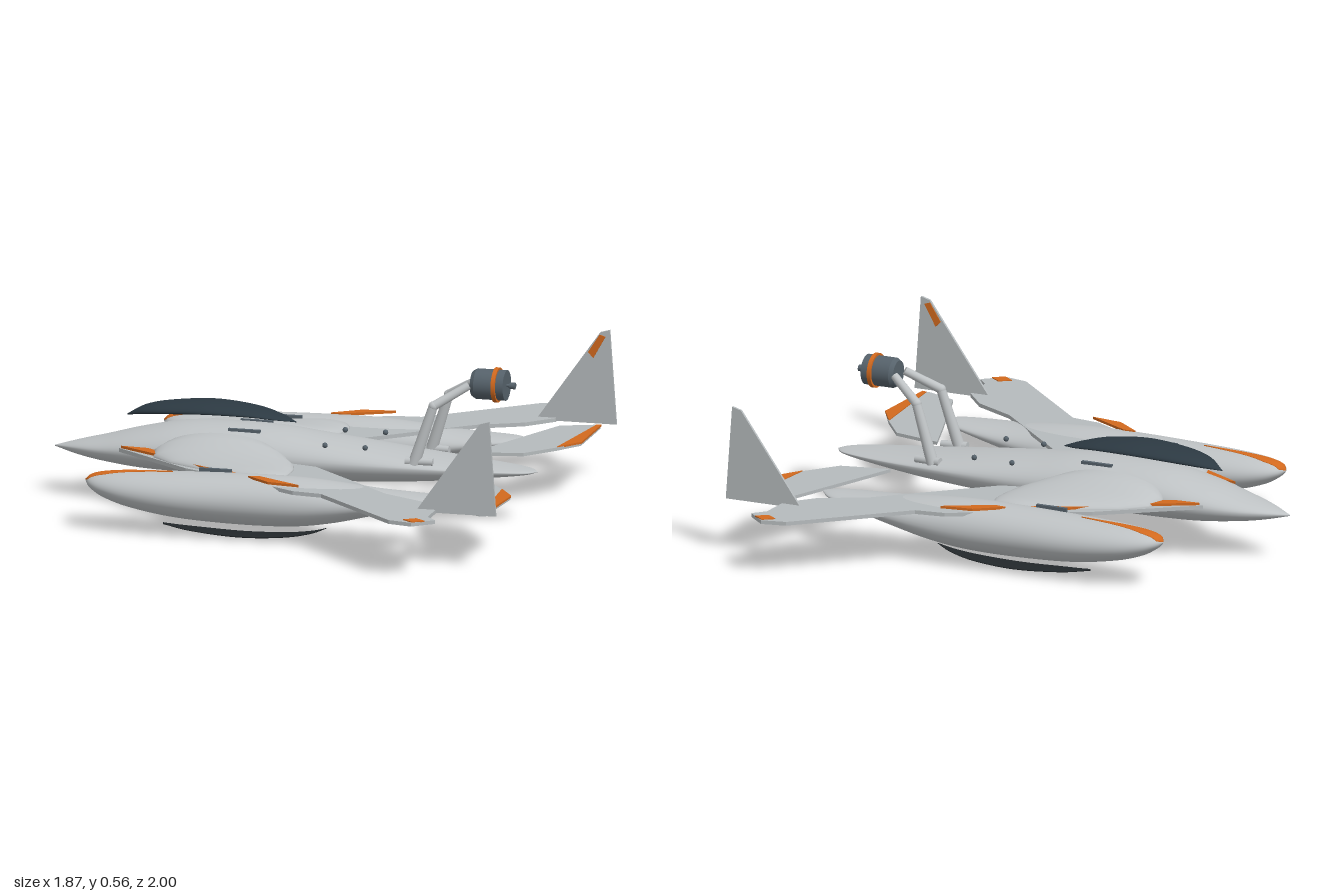
import * as THREE from 'three';

const mat = (name, color, side = THREE.FrontSide) => {
  const m = new THREE.MeshStandardMaterial({ color, side });
  m.name = name;
  return m;
};

// Closed skin through rings of [x, y, z] points
function skin(rings) {
  const n = rings[0].length, index = [];
  for (let i = 0; i < rings.length - 1; i++)
    for (let j = 0; j < n; j++) {
      const a = i * n + j, b = i * n + (j + 1) % n;
      index.push(a, a + n, b, b, a + n, b + n);
    }
  const g = new THREE.BufferGeometry();
  g.setAttribute('position', new THREE.Float32BufferAttribute(rings.flat(2), 3));
  g.setIndex(index);
  g.computeVertexNormals();
  return g;
}

// Smooth reader of stations [x, halfWidth, middle, top, bottom]
function stations(rows) {
  const a = new THREE.CatmullRomCurve3(rows.map(r => new THREE.Vector3(r[0], r[1], r[2])), false, 'catmullrom');
  const b = new THREE.CatmullRomCurve3(rows.map(r => new THREE.Vector3(r[0], r[3], r[4])), false, 'catmullrom');
  return t => {
    const p = a.getPoint(t), q = b.getPoint(t);
    return { x: p.x, w: Math.max(p.y, 0), mid: p.z, top: q.y, bot: q.z };
  };
}

const angles = n => Array.from({ length: n }, (_, j) => (j / n) * Math.PI * 2);

function body(read, zc = 0, steps = 56, n = 40) {
  const rings = [];
  for (let i = 0; i <= steps; i++) {
    const s = read(i / steps);
    rings.push(angles(n).map(a => {
      const k = Math.sin(a);
      return [s.x, s.mid + k * (k > 0 ? s.top - s.mid : s.mid - s.bot), zc + s.w * Math.cos(a)];
    }));
  }
  return skin(rings);
}

const outline = pts => new THREE.Shape(pts.map(p => new THREE.Vector2(...p)));

// Horizontal plate from [x, z] corners, with its top at y
function plate(pts, y, depth) {
  return new THREE.ExtrudeGeometry(outline(pts), { depth, bevelEnabled: false })
    .rotateX(Math.PI / 2).translate(0, y, 0);
}

// Upright plate from [x, y] corners, centred on z
function upright(pts, z, depth) {
  return new THREE.ExtrudeGeometry(outline(pts), { depth, bevelEnabled: false }).translate(0, 0, z - depth / 2);
}

function mirrored(geo) {
  const g = geo.clone().scale(1, 1, -1);
  const idx = g.index ? [...g.index.array] : [...Array(g.attributes.position.count).keys()];
  g.setIndex(idx.reverse());
  // scale() already carries the normals across
  return g;
}

function rod(a, b, r0, r1) {
  const p = new THREE.Vector3(...a), q = new THREE.Vector3(...b), d = q.clone().sub(p);
  const g = new THREE.CylinderGeometry(r1, r0, d.length(), 16);
  g.applyQuaternion(new THREE.Quaternion().setFromUnitVectors(new THREE.Vector3(0, 1, 0), d.clone().normalize()));
  return g.translate(...p.add(q).multiplyScalar(0.5).toArray());
}

export function createModel() {
  const model = new THREE.Group();
  model.name = 'aircraft';
  const hull = mat('hull grey', 0xbec2c4), panel = mat('wing grey', 0xb5babc);
  const orange = mat('orange', 0xd2691e), glass = mat('canopy glass', 0x2c3942);
  const steel = mat('engine grey', 0x56626b), black = mat('black', 0x22272a);

  const add = (name, geo, m) => {
    const mesh = new THREE.Mesh(geo, m);
    mesh.name = name;
    model.add(mesh);
  };
  const pair = (name, geo, m) => {
    add(name + 'Left', geo, m);
    add(name + 'Right', mirrored(geo), m);
  };

  // Fuselage
  add('fuselage', body(stations([
    [-0.94, 0, 0.173, 0.175, 0.171], [-0.85, 0.06, 0.18, 0.2, 0.15], [-0.75, 0.105, 0.185, 0.225, 0.134],
    [-0.6, 0.147, 0.195, 0.265, 0.119], [-0.42, 0.165, 0.2, 0.297, 0.115], [-0.15, 0.168, 0.2, 0.3, 0.115],
    [0.05, 0.165, 0.2, 0.28, 0.117], [0.25, 0.157, 0.2, 0.257, 0.123], [0.45, 0.14, 0.2, 0.232, 0.137],
    [0.62, 0.112, 0.197, 0.214, 0.155], [0.76, 0.075, 0.194, 0.203, 0.171], [0.83, 0.042, 0.191, 0.197, 0.181],
    [0.86, 0, 0.19, 0.191, 0.189]])), hull);

  // Canopy: a bent lens above the fuselage
  add('canopy', body(stations([
    [-0.67, 0, 0.305, 0.307, 0.303], [-0.6, 0.052, 0.325, 0.345, 0.313], [-0.5, 0.081, 0.338, 0.365, 0.323],
    [-0.35, 0.095, 0.346, 0.376, 0.333], [-0.2, 0.08, 0.342, 0.362, 0.331], [-0.1, 0.045, 0.328, 0.338, 0.322],
    [-0.04, 0, 0.316, 0.318, 0.314]])), glass);

  // Side pods
  const pod = stations([
    [-0.68, 0, 0.172, 0.173, 0.171], [-0.655, 0.045, 0.168, 0.193, 0.146], [-0.6, 0.078, 0.16, 0.206, 0.115],
    [-0.5, 0.104, 0.15, 0.216, 0.086], [-0.33, 0.122, 0.142, 0.223, 0.06], [-0.1, 0.124, 0.14, 0.23, 0.05],
    [0.1, 0.124, 0.14, 0.231, 0.055], [0.25, 0.119, 0.147, 0.222, 0.077], [0.4, 0.106, 0.16, 0.207, 0.114],
    [0.54, 0.084, 0.175, 0.2, 0.15], [0.63, 0.052, 0.184, 0.197, 0.171], [0.68, 0, 0.19, 0.191, 0.189]]);
  pair('pod', body(pod, 0.5), hull);

  // Painted blaze on each pod nose, following its skin
  const blaze = [];
  for (let i = 0; i <= 30; i++) {
    const u = i / 30, s = pod(0.003 + u * 0.35);
    const half = Math.min(s.w * 0.8, 0.028 * Math.min(1, 2.0 * (1 - u)));
    blaze.push(angles(16).map(a => {
      const dz = half * Math.cos(a);
      const top = s.mid + (s.top - s.mid) * Math.sqrt(Math.max(0, 1 - (dz / Math.max(s.w, 1e-4)) ** 2));
      return [s.x, top + 0.004 * Math.sin(a), 0.5 + dz];
    }));
  }
  pair('podBlaze', skin(blaze), orange);

  // Curved skids beneath the pods
  pair('skid', body(stations([
    [-0.39, 0.004, 0.031, 0.035, 0.028], [-0.28, 0.034, 0.019, 0.024, 0.013], [-0.1, 0.045, 0.01, 0.017, 0.002],
    [0.06, 0.036, 0.017, 0.024, 0.01], [0.16, 0.018, 0.032, 0.038, 0.028], [0.22, 0.002, 0.052, 0.053, 0.051]]),
    0.5, 30, 20), black);

  // Wings
  pair('wing', plate([
    [-0.66, 0.14], [-0.6, 0.185], [-0.34, 0.385], [-0.1, 0.5], [0.13, 0.63], [0.24, 0.645], [0.59, 0.98],
    [0.68, 1], [0.75, 0.935], [0.71, 0.89], [0.705, 0.76], [0.62, 0.66], [0.46, 0.575], [0.1, 0.23],
    [-0.02, 0.2], [-0.02, 0.1], [-0.5, 0.1]], 0.211, 0.014), panel);
  pair('wingRootStripe', plate([
    [-0.65, 0.148], [-0.55, 0.155], [-0.45, 0.22], [-0.12, 0.455], [-0.11, 0.48], [-0.17, 0.465],
    [-0.5, 0.235]], 0.222, 0.009), orange);
  pair('wingEdgeStripe', plate([
    [-0.065, 0.53], [-0.02, 0.525], [0.15, 0.622], [0.03, 0.605]], 0.233, 0.009), orange);
  pair('wingTipMark', plate([[0.64, 0.965], [0.68, 0.935], [0.72, 0.965], [0.68, 0.995]], 0.214, 0.005), orange);

  // Blended fairings between fuselage and wings: [z, front, rear, height]
  const fairing = [
    [0.115, -0.48, -0.1, 0.07], [0.13, -0.505, -0.06, 0.078], [0.18, -0.52, -0.02, 0.068],
    [0.25, -0.5, 0.025, 0.047], [0.32, -0.42, 0.043, 0.033], [0.39, -0.28, 0.045, 0.025],
    [0.44, -0.16, 0.03, 0.02], [0.465, -0.06, -0.05, 0.005]
  ].map(([z, x0, x1, h]) => angles(36).map(a => {
    const k = Math.sin(a);
    return [(x0 + x1) / 2 - (x1 - x0) / 2 * Math.cos(a), 0.21 + k * (k > 0 ? h : 0.005), z];
  }));
  pair('wingFairing', skin(fairing), hull);

  // Tailplanes with painted trailing edges
  pair('tailplane', plate([
    [0.56, 0.19], [0.74, 0.23], [0.83, 0.35], [0.89, 0.45], [0.88, 0.735], [0.86, 0.74], [0.74, 0.69],
    [0.62, 0.36]], 0.201, 0.012), panel);
  pair('tailplaneStripe', plate([[0.83, 0.352], [0.893, 0.45], [0.883, 0.735], [0.866, 0.73]], 0.204, 0.007), orange);

  // Upright fins with a small mark on the inner face
  pair('fin', upright([[0.63, 0.2], [0.93, 0.2], [0.905, 0.545], [0.87, 0.535]], 0.77, 0.01), panel);
  pair('finMark', upright([[0.825, 0.46], [0.845, 0.44], [0.89, 0.52], [0.868, 0.527]], 0.764, 0.004), orange);

  // Small fittings
  pair('wingRail', new THREE.BoxGeometry(0.12, 0.016, 0.014).translate(-0.21, 0.225, 0.45), steel);
  pair('spineRail', new THREE.BoxGeometry(0.12, 0.012, 0.014).translate(-0.21, 0.29, 0.08), steel);
  for (const x of [0.105, 0.255])
    pair('bolt', new THREE.SphereGeometry(0.01, 12, 8).translate(x, 0.268, 0.13), steel);

  // Engine mount struts
  const foot = [0.43, 0.215, 0.11], knee = [0.5, 0.43, 0.1], grip = [0.615, 0.5, 0.04];
  pair('lowerStrut', rod(foot, knee, 0.022, 0.017), hull);
  pair('strutKnee', new THREE.SphereGeometry(0.018, 16, 12).translate(...knee), hull);
  pair('upperStrut', rod(knee, grip, 0.017, 0.015), hull);
  pair('strutFoot', rod([0.4, 0.225, 0.112], [0.5, 0.225, 0.104], 0.017, 0.014), hull);

  // Rear engine
  const turn = (r, x0, x1) => new THREE.CylinderGeometry(r, r, x1 - x0, 32)
    .rotateZ(-Math.PI / 2).translate((x0 + x1) / 2, 0.5, 0);
  add('engineFront', new THREE.CylinderGeometry(0.055, 0.046, 0.015, 32)
    .rotateZ(-Math.PI / 2).translate(0.6275, 0.5, 0), steel);
  add('engine', turn(0.055, 0.635, 0.745), steel);
  add('engineBand', turn(0.063, 0.702, 0.717), orange);
  add('engineShaft', turn(0.006, 0.745, 0.76), steel);
  add('engineHub', turn(0.012, 0.757, 0.777), steel);

  return model;
}
